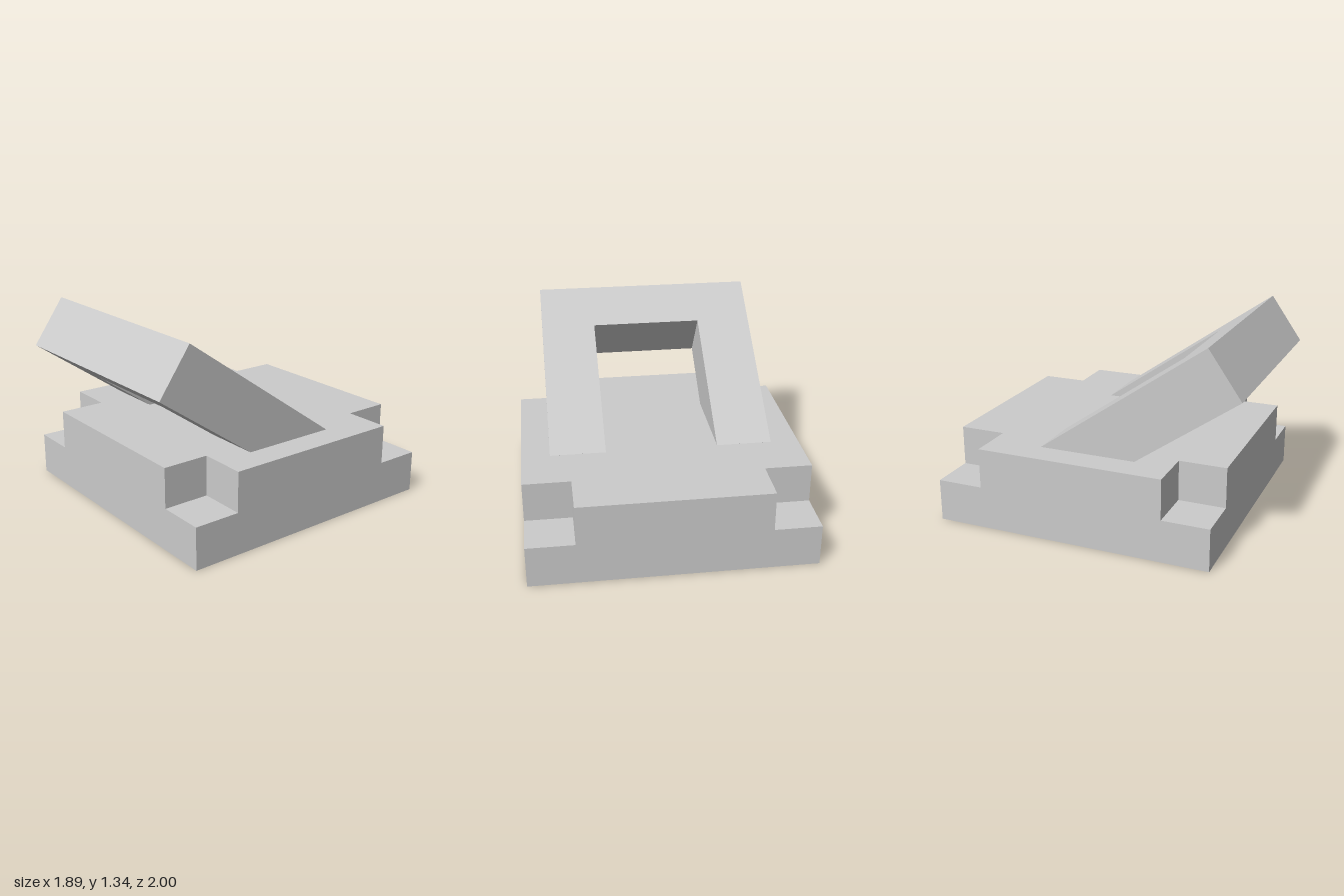
import * as THREE from 'three';

const material = new THREE.MeshStandardMaterial({ color: 0xcccccc, flatShading: true });

function extrude(name, points, depth) {
  const shape = new THREE.Shape(points.map(([x, y]) => new THREE.Vector2(x, y)));
  const mesh = new THREE.Mesh(new THREE.ExtrudeGeometry(shape, { depth, bevelEnabled: false }), material);
  mesh.name = name;
  return mesh;
}

export function createModel() {
  const group = new THREE.Group();
  group.name = 'slopedFrameOnBase';

  // Base: full lower slab, then a block with its four corners notched out
  const halfWidth = 0.945, back = -1, front = 0.89, ledge = 0.285, top = 0.555;
  const slab = new THREE.Mesh(new THREE.BoxGeometry(halfWidth * 2, ledge, front - back), material);
  slab.name = 'baseSlab';
  slab.position.set(0, ledge / 2, (front + back) / 2);
  group.add(slab);

  const nx = 0.63, nb = -0.685, nf = 0.575;
  const notched = extrude('notchedBaseTop', [
    [-nx, back], [nx, back], [nx, nb], [halfWidth, nb], [halfWidth, nf], [nx, nf],
    [nx, front], [-nx, front], [-nx, nf], [-halfWidth, nf], [-halfWidth, nb], [-nx, nb],
  ], top - ledge);
  notched.rotation.x = Math.PI / 2;
  notched.position.y = top;
  group.add(notched);

  // Sloped U-shaped frame: crossbar raised at the front, legs sunk into the base
  const outer = 0.755, inner = 0.38, bar = 0.337, length = 1.365;
  const frame = extrude('slopedFrame', [
    [-outer, 0], [-outer, -length], [-inner, -length], [-inner, -bar],
    [inner, -bar], [inner, -length], [outer, -length], [outer, 0],
  ], 0.377);
  frame.rotation.x = THREE.MathUtils.degToRad(54.9);
  frame.position.set(0, 1.34, 0.785);
  group.add(frame);

  return group;
}
